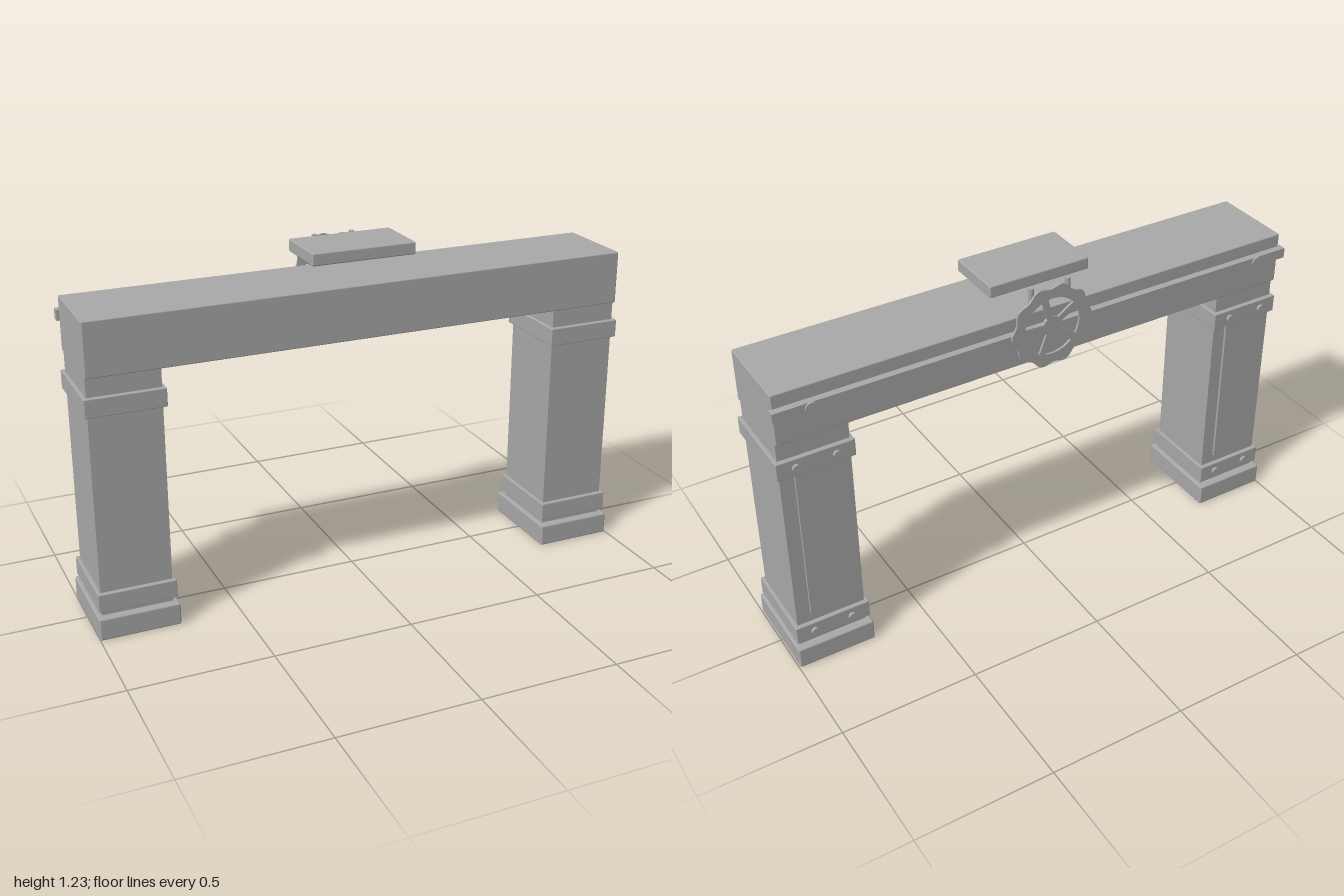
import * as THREE from 'three';
import { RoundedBoxGeometry } from 'three/addons/geometries/RoundedBoxGeometry.js';

export function createModel() {
  const model = new THREE.Group();
  model.name = 'gateFrame';
  const grey = new THREE.MeshStandardMaterial({ color: 0xa8a8a8 });
  grey.name = 'plain grey';

  const add = (name, geometry, parent = model) => {
    const mesh = new THREE.Mesh(geometry, grey);
    mesh.name = name;
    parent.add(mesh);
    return mesh;
  };
  // Block given by its limits, with optional softened edges
  const block = (name, [x0, x1], [y0, y1], [z0, z1], bevel = 0, parent = model) => {
    const size = [x1 - x0, y1 - y0, z1 - z0];
    const geometry = bevel ? new RoundedBoxGeometry(...size, 2, bevel) : new THREE.BoxGeometry(...size);
    add(name, geometry, parent).position.set((x0 + x1) / 2, (y0 + y1) / 2, (z0 + z1) / 2);
  };
  // Round bolt head facing the back
  const bolt = (name, x, y, z, radius, depth, parent = model) => {
    const geometry = new THREE.CylinderGeometry(radius, radius, depth, 16).rotateX(Math.PI / 2);
    add(name, geometry, parent).position.set(x, y, z);
  };

  // Pillars with foot, two bands, bolts and a back panel
  for (const [side, x] of [['right', -0.858], ['left', 0.854]]) {
    const pillar = new THREE.Group();
    pillar.name = side + 'Pillar';
    pillar.position.x = x;
    model.add(pillar);
    block('foot', [-0.142, 0.142], [0, 0.08], [-0.161, 0.177], 0.006, pillar);
    block('shaft', [-0.125, 0.125], [0.07, 0.94], [-0.13, 0.147], 0, pillar);
    block('backPanel', [-0.075, 0.075], [0.2, 0.795], [-0.14, -0.125], 0, pillar);
    for (const [y0, y1] of [[0.098, 0.165], [0.798, 0.863]]) {
      block('band', [-0.137, 0.137], [y0, y1], [-0.146, 0.163], 0.003, pillar);
      for (const bx of [-0.07, 0.07]) bolt('bandBolt', bx, (y0 + y1) / 2, -0.15, 0.014, 0.013, pillar);
    }
  }

  // Crossbeam and back rail
  block('crossbeam', [-0.985, 0.981], [0.93, 1.12], [-0.145, 0.161], 0.004);
  block('backRail', [-0.995, 0.991], [1.034, 1.071], [-0.17, -0.14]);
  for (const x of [-0.867, 0.863]) bolt('railBolt', x, 1.052, -0.171, 0.02, 0.01);

  // Sign plate above the beam and the two pins behind it
  block('topPlate', [-0.192, 0.188], [1.19, 1.234], [-0.1, 0.115], 0.005);
  for (const x of [-0.072, 0.068])
    add('pin', new THREE.CylinderGeometry(0.01, 0.01, 0.07, 12)).position.set(x, 1.187, -0.156);

  // Scalloped wheel with five spokes
  const wheel = new THREE.Group();
  wheel.name = 'wheel';
  wheel.position.set(-0.002, 1.067, -0.178);
  model.add(wheel);
  const outline = new THREE.Shape();
  for (let i = 0; i < 100; i++) {
    const a = (i / 100) * Math.PI * 2;
    const r = 0.148 + 0.007 * Math.cos(10 * a + 0.5);
    outline[i ? 'lineTo' : 'moveTo'](r * Math.cos(a), r * Math.sin(a));
  }
  outline.closePath();
  const spokes = 5, half = Math.PI / spokes, first = 1.3;
  for (let i = 0; i < spokes; i++) {
    const mid = first + (2 * i + 1) * half;
    const inner = half - 0.32, outer = half - 0.12;
    const hole = new THREE.Path();
    hole.absarc(0, 0, 0.106, mid - outer, mid + outer, false);
    hole.absarc(0, 0, 0.036, mid + inner, mid - inner, true);
    hole.closePath();
    outline.holes.push(hole);
  }
  add('scallopedRim', new THREE.ExtrudeGeometry(outline, { depth: 0.008, bevelEnabled: false, curveSegments: 10 }), wheel);
  bolt('hub', 0, 0, 0.015, 0.018, 0.03, wheel);

  return model;
}
